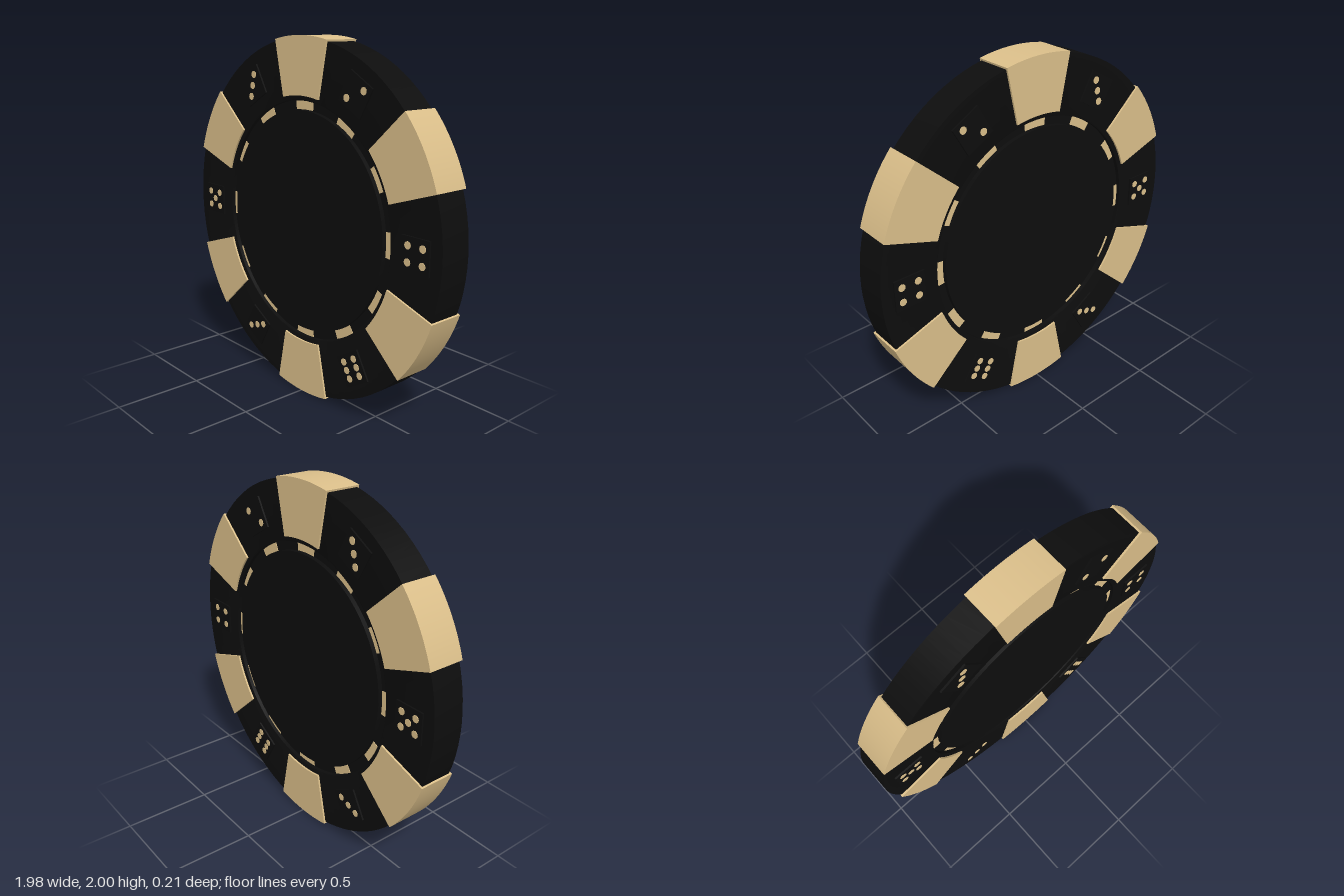
import * as THREE from 'three';
import { toCreasedNormals } from 'three/addons/utils/BufferGeometryUtils.js';

const black = new THREE.MeshStandardMaterial({ color: 0x0d0d0d });
black.name = 'black';
const tan = new THREE.MeshStandardMaterial({ color: 0xdbbf8a });
tan.name = 'tan';

// Ring sector centred on +x, extruded evenly about z = 0
function sector(inner, outer, halfAngle, thickness) {
  const s = new THREE.Shape();
  s.absarc(0, 0, outer, -halfAngle, halfAngle, false);
  s.absarc(0, 0, inner, halfAngle, -halfAngle, true);
  s.closePath();
  const g = new THREE.ExtrudeGeometry(s, { depth: thickness, bevelEnabled: false, curveSegments: 14 });
  g.translate(0, 0, -thickness / 2);
  return toCreasedNormals(g, 0.5);
}

export function createModel() {
  const model = new THREE.Group();
  const chip = new THREE.Group();
  chip.name = 'chip';
  chip.position.y = 1;
  model.add(chip);

  const add = (parent, name, geometry, material) => {
    const mesh = new THREE.Mesh(geometry, material);
    mesh.name = name;
    parent.add(mesh);
    return mesh;
  };

  // Body: disc with a groove on each face, profile mirrored about its middle
  const half = [[0, 0.093], [0.613, 0.093], [0.613, 0.068], [0.664, 0.068], [0.664, 0.09], [0.672, 0.093], [0.99, 0.093]];
  const profile = [
    ...half.map(([r, h]) => new THREE.Vector2(r, -h)),
    ...half.slice().reverse().map(([r, h]) => new THREE.Vector2(r, h)),
  ];
  const body = new THREE.LatheGeometry(profile, 96);
  body.rotateX(Math.PI / 2);
  add(chip, 'body', toCreasedNormals(body, 0.5), black);

  // Six edge blocks wrapping the rim
  const blockGeometry = sector(0.69, 1, 0.207, 0.208);
  for (let i = 0; i < 6; i++) {
    add(chip, 'edgeBlock', blockGeometry, tan).rotation.z = Math.PI / 6 + i * Math.PI / 3;
  }

  // Twelve dashes in the groove of both faces
  const dashGeometry = sector(0.615, 0.662, 0.106, 0.142);
  for (let i = 0; i < 12; i++) {
    add(chip, 'grooveDash', dashGeometry, tan).rotation.z = i * Math.PI / 6;
  }

  // Dice panels between the blocks; pips run through to the back
  const d = 0.047, w = 0.042;
  const corners = [[-d, -w], [d, -w], [-d, w], [d, w]];
  const two = [[-d, w], [d, -w]];
  const three = [...two, [0, 0]];
  const faces = [
    corners,
    two,
    three,
    [...corners, [0, 0]],
    three,
    [...corners, [0, -w], [0, w]],
  ];
  const panelGeometry = new THREE.BoxGeometry(0.175, 0.175, 0.206);
  const pipGeometry = new THREE.CylinderGeometry(0.02, 0.02, 0.212, 12);
  pipGeometry.rotateX(Math.PI / 2);
  faces.forEach((pips, i) => {
    const die = new THREE.Group();
    die.name = 'dicePanel';
    const a = i * Math.PI / 3;
    die.position.set(0.832 * Math.cos(a), 0.832 * Math.sin(a), 0);
    die.rotation.z = a;
    chip.add(die);
    add(die, 'panel', panelGeometry, black);
    for (const [x, y] of pips) add(die, 'pip', pipGeometry, tan).position.set(x, y, 0);
  });

  return model;
}
